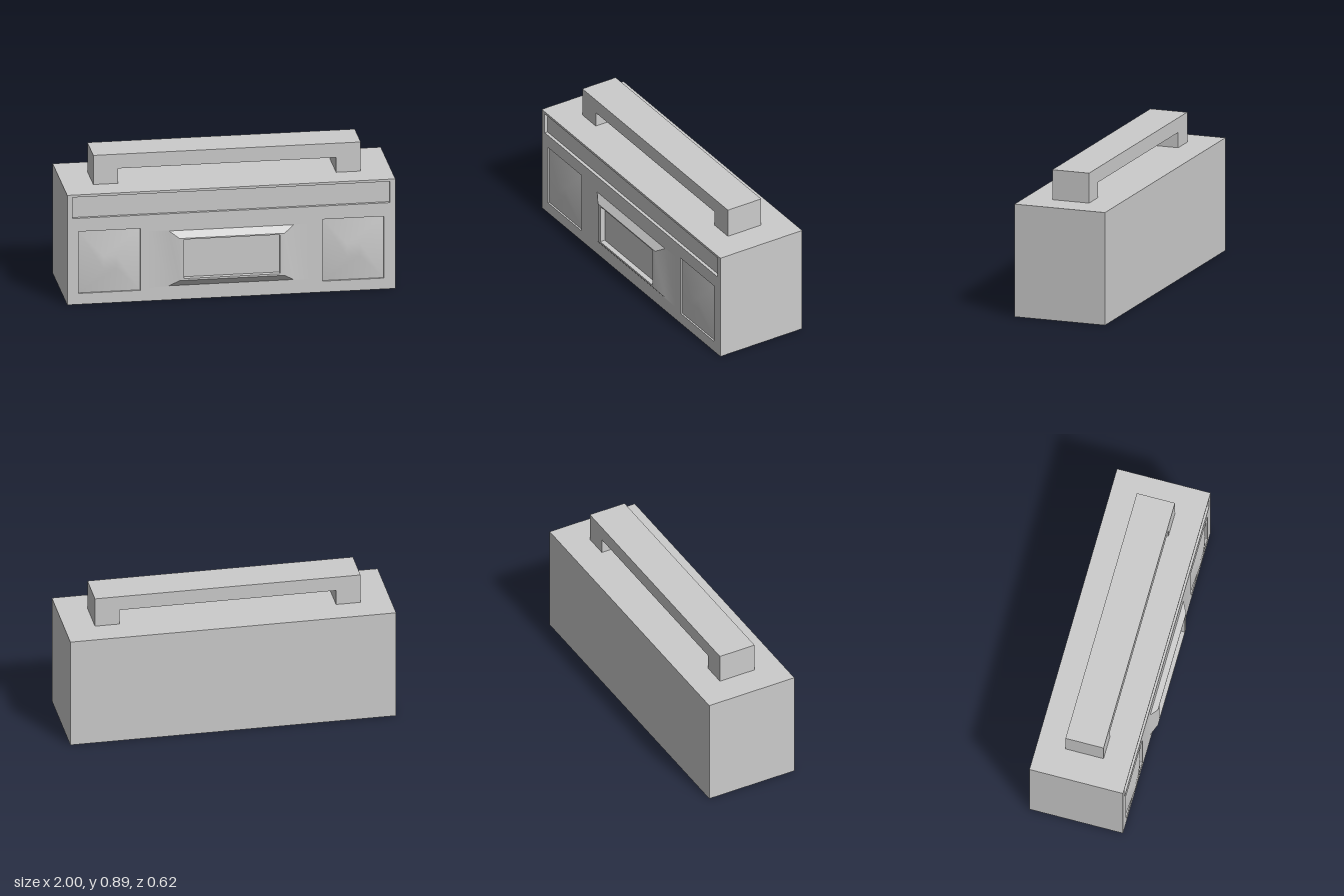
import * as THREE from 'three';
import { toCreasedNormals } from 'three/addons/utils/BufferGeometryUtils.js';

const FRONT = 0.275, BACK = -0.31, HEIGHT = 0.7;
const material = new THREE.MeshStandardMaterial({ color: 0xcccccc });

// Skin over a list of rectangular rings [x0, x1, y0, y1, z], with optional end caps
function loft(rings, { startCap = false, endCap = false, crease = 0.1 } = {}) {
  const pos = [], index = [];
  for (const [x0, x1, y0, y1, z] of rings) {
    pos.push(x0, y0, z, x1, y0, z, x1, y1, z, x0, y1, z);
  }
  for (let r = 0; r < rings.length - 1; r++) {
    for (let i = 0; i < 4; i++) {
      const j = (i + 1) % 4, a = r * 4, b = a + 4;
      index.push(a + i, a + j, b + j, a + i, b + j, b + i);
    }
  }
  if (startCap) index.push(0, 2, 1, 0, 3, 2);
  const e = (rings.length - 1) * 4;
  if (endCap) index.push(e, e + 1, e + 2, e, e + 2, e + 3);
  const geo = new THREE.BufferGeometry();
  geo.setAttribute('position', new THREE.Float32BufferAttribute(pos, 3));
  geo.setIndex(index);
  return toCreasedNormals(geo, crease);
}

function outline(path, [x0, x1, y0, y1]) {
  path.moveTo(x0, y0);
  path.lineTo(x1, y0);
  path.lineTo(x1, y1);
  path.lineTo(x0, y1);
  path.closePath();
  return path;
}

export function createModel() {
  const model = new THREE.Group();
  model.name = 'portableStereo';
  const add = (name, geo) => {
    const mesh = new THREE.Mesh(geo, material);
    mesh.name = name;
    model.add(mesh);
    return mesh;
  };

  // Regions cut out of the front face
  const strip = [-0.967, 0.967, 0.55, 0.685];
  const speakers = [[-0.93, -0.555, 0.07, 0.465], [0.555, 0.93, 0.07, 0.465]];
  const deckArea = [-0.5, 0.5, 0.085, 0.445];

  // Case: back and sides, then the front face with its openings
  const caseRect = [-1, 1, 0, HEIGHT];
  add('case', loft([[...caseRect, BACK], [...caseRect, FRONT]], { startCap: true }));
  const face = outline(new THREE.Shape(), caseRect);
  for (const hole of [strip, ...speakers, deckArea]) {
    face.holes.push(outline(new THREE.Path(), hole));
  }
  add('frontFace', new THREE.ShapeGeometry(face)).position.z = FRONT;

  // Recessed control strip
  add('controlStrip', loft([[...strip, FRONT], [...strip, FRONT - 0.02]], { endCap: true }));

  // Speakers: shallow recess with a softly bulging grille
  speakers.forEach((rect, i) => {
    const side = i ? 'left' : 'right', base = FRONT - 0.011;
    add(side + 'SpeakerRecess', loft([[...rect, FRONT], [...rect, base]]));
    const cx = (rect[0] + rect[1]) / 2, cy = (rect[2] + rect[3]) / 2;
    add(side + 'SpeakerGrille', loft(
      [[...rect, base], [cx - 0.04, cx + 0.04, cy - 0.04, cy + 0.04, 0.294]],
      { endCap: true, crease: 0.5 }));
  });

  // Cassette deck: sloped bezel blending into the face, with a sunken window
  const windowRect = [-0.293, 0.293, 0.143, 0.392];
  add('cassetteDeck', loft([
    [...deckArea, FRONT],
    [-0.38, 0.38, 0.09, 0.44, FRONT],
    [-0.32, 0.32, 0.131, 0.4, 0.308],
    [...windowRect, 0.308],
    [...windowRect, FRONT],
  ], { endCap: true, crease: 0.54 }));

  // Carrying handle
  const arch = new THREE.Shape([
    [-0.815, 0.7], [-0.665, 0.7], [-0.665, 0.795], [0.665, 0.795],
    [0.665, 0.7], [0.815, 0.7], [0.815, 0.886], [-0.815, 0.886],
  ].map(([x, y]) => new THREE.Vector2(x, y)));
  add('handle', new THREE.ExtrudeGeometry(arch, { depth: 0.238, bevelEnabled: false }))
    .position.z = -0.135;

  return model;
}
